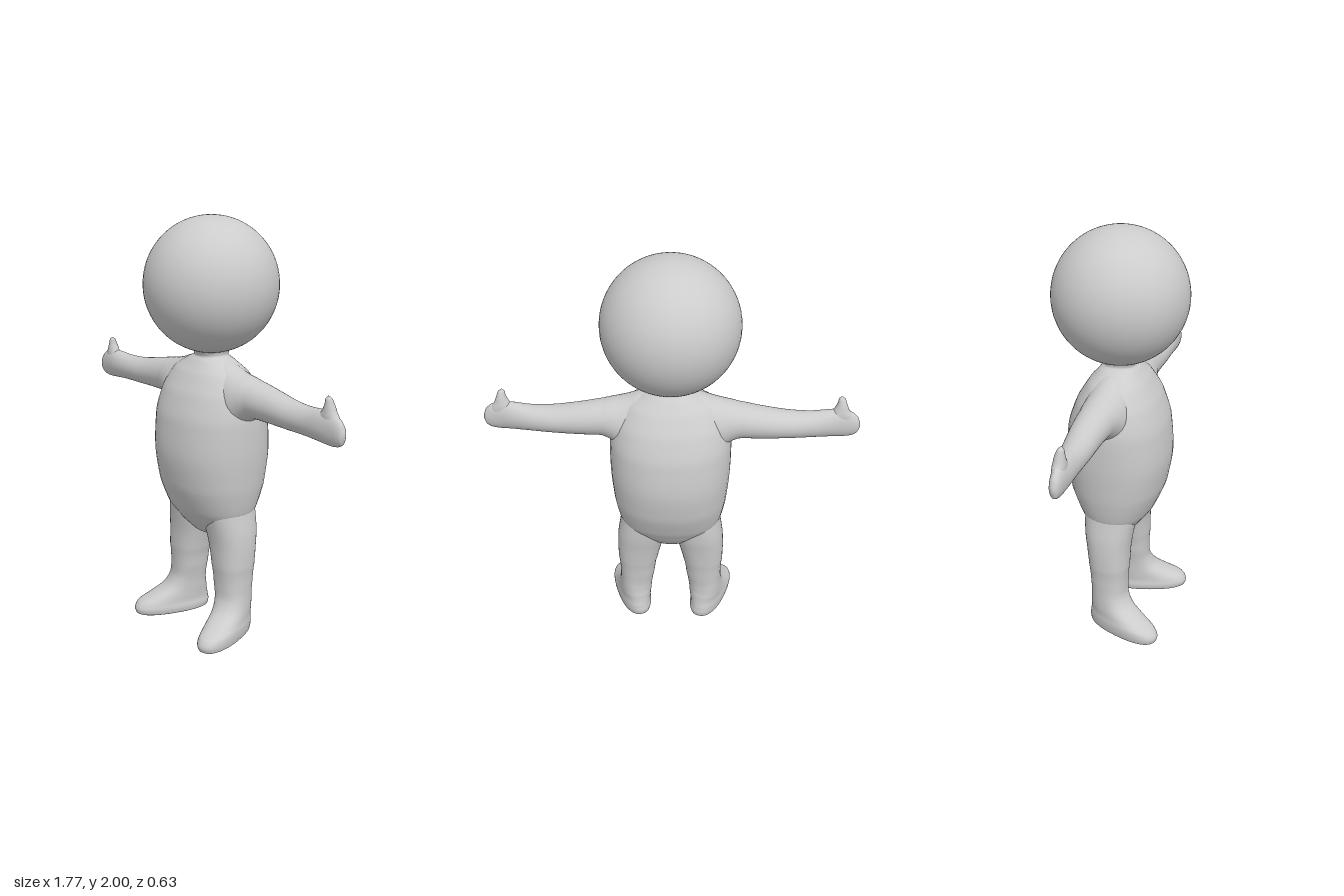
import * as THREE from 'three';

const material = new THREE.MeshStandardMaterial({ color: 0xcccccc });

// Smooth closed skin through rounded cross-sections [x, y, z, radiusA, radiusZ, turn].
// axis 'y': radiusA runs along x; axis 'x': radiusA runs along y. side -1 mirrors in x.
function loft(name, sections, { axis = 'y', side = 1, power = 2.2, steps = 6, around = 40 } = {}) {
  const centres = new THREE.CatmullRomCurve3(sections.map(s => new THREE.Vector3(s[0], s[1], s[2])));
  const radii = new THREE.CatmullRomCurve3(sections.map(s => new THREE.Vector3(s[3], s[4], s[5] || 0)));
  const rows = (sections.length - 1) * steps;
  const pos = [], index = [];
  const round = v => Math.sign(v) * Math.abs(v) ** (2 / power);
  const face = (a, b, c) => index.push(...(side > 0 ? [a, b, c] : [a, c, b]));

  for (let i = 0; i <= rows; i++) {
    const c = centres.getPoint(i / rows), r = radii.getPoint(i / rows);
    for (let j = 0; j < around; j++) {
      const a = j / around * Math.PI * 2;
      const p = round(Math.cos(a)), q = round(Math.sin(a));
      if (axis === 'y') {
        const u = p * r.x, v = q * r.y, cos = Math.cos(r.z), sin = Math.sin(r.z);
        pos.push(side * (c.x + u * cos + v * sin), c.y, c.z - u * sin + v * cos);
      } else {
        pos.push(side * c.x, c.y + q * r.x, c.z + p * r.y);
      }
      if (i < rows) {
        const k = i * around + j, n = i * around + (j + 1) % around;
        face(k, k + around, n);
        face(n, k + around, n + around);
      }
    }
  }
  // End caps
  const first = pos.length / 3, last = rows * around;
  for (const c of [centres.getPoint(0), centres.getPoint(1)]) pos.push(side * c.x, c.y, c.z);
  for (let j = 0; j < around; j++) {
    const n = (j + 1) % around;
    face(first, j, n);
    face(first + 1, last + n, last + j);
  }
  const geometry = new THREE.BufferGeometry();
  geometry.setAttribute('position', new THREE.Float32BufferAttribute(pos, 3));
  geometry.setIndex(index);
  geometry.computeVertexNormals();
  const mesh = new THREE.Mesh(geometry, material);
  mesh.name = name;
  return mesh;
}

export function createModel() {
  const model = new THREE.Group();
  model.name = 'figure';

  const head = new THREE.Mesh(new THREE.SphereGeometry(0.315, 64, 48), material);
  head.name = 'head';
  head.position.y = 1.685;
  model.add(head);

  // Torso, from crotch to neck
  model.add(loft('torso', [
    [0, 0.465, -0.005, 0.03, 0.03],
    [0, 0.485, -0.005, 0.10, 0.07],
    [0, 0.54, -0.003, 0.19, 0.118],
    [0, 0.62, 0, 0.245, 0.172],
    [0, 0.75, 0, 0.273, 0.224],
    [0, 0.92, 0, 0.287, 0.247],
    [0, 1.08, 0, 0.288, 0.232],
    [0, 1.20, 0, 0.265, 0.19],
    [0, 1.29, 0, 0.21, 0.135],
    [0, 1.34, 0, 0.125, 0.092],
    [0, 1.362, 0, 0.082, 0.075],
    [0, 1.385, 0, 0.085, 0.085],
    [0, 1.42, 0, 0.10, 0.10],
  ]));

  for (const side of [1, -1]) {
    const label = side > 0 ? 'left' : 'right';

    // Arm with mitten hand, from inside the chest to the fingertips
    model.add(loft(label + 'Arm', [
      [0.06, 1.20, 0, 0.155, 0.09],
      [0.14, 1.185, 0, 0.152, 0.11],
      [0.22, 1.175, 0, 0.135, 0.11],
      [0.28, 1.194, -0.003, 0.103, 0.096],
      [0.32, 1.2, -0.005, 0.088, 0.087],
      [0.42, 1.192, -0.007, 0.078, 0.078],
      [0.55, 1.181, -0.001, 0.067, 0.068],
      [0.66, 1.179, 0.006, 0.065, 0.056],
      [0.75, 1.182, 0.015, 0.071, 0.045],
      [0.81, 1.18, 0.02, 0.072, 0.034],
      [0.85, 1.173, 0.022, 0.060, 0.027],
      [0.873, 1.168, 0.023, 0.042, 0.02],
      [0.885, 1.166, 0.023, 0.012, 0.006],
    ], { axis: 'x', side, power: 2 }));

    // Thumb pointing up
    model.add(loft(label + 'Thumb', [
      [0.785, 1.18, 0.018, 0.075, 0.028],
      [0.788, 1.225, 0.018, 0.058, 0.03],
      [0.791, 1.255, 0.019, 0.035, 0.027],
      [0.792, 1.285, 0.021, 0.022, 0.021],
      [0.79, 1.308, 0.024, 0.015, 0.014],
      [0.788, 1.319, 0.025, 0.004, 0.004],
    ], { side, power: 2, around: 24 }));

    // Leg and outward-turned foot, from sole to hip
    model.add(loft(label + 'Leg', [
      [0.21, 0, 0.09, 0.07, 0.182, 0.33],
      [0.21, 0.006, 0.09, 0.079, 0.191, 0.33],
      [0.21, 0.03, 0.09, 0.084, 0.196, 0.33],
      [0.21, 0.06, 0.082, 0.083, 0.185, 0.33],
      [0.20, 0.09, 0.058, 0.081, 0.153, 0.33],
      [0.188, 0.13, 0.026, 0.081, 0.115, 0.31],
      [0.18, 0.18, 0.01, 0.082, 0.093, 0.24],
      [0.172, 0.25, 0.004, 0.088, 0.09, 0.1],
      [0.166, 0.35, 0.001, 0.1, 0.098],
      [0.155, 0.45, -0.004, 0.112, 0.105],
      [0.142, 0.53, -0.006, 0.12, 0.116],
      [0.125, 0.62, -0.003, 0.122, 0.125],
      [0.12, 0.72, 0, 0.11, 0.12],
    ], { side, power: 2.3 }));
  }
  return model;
}
